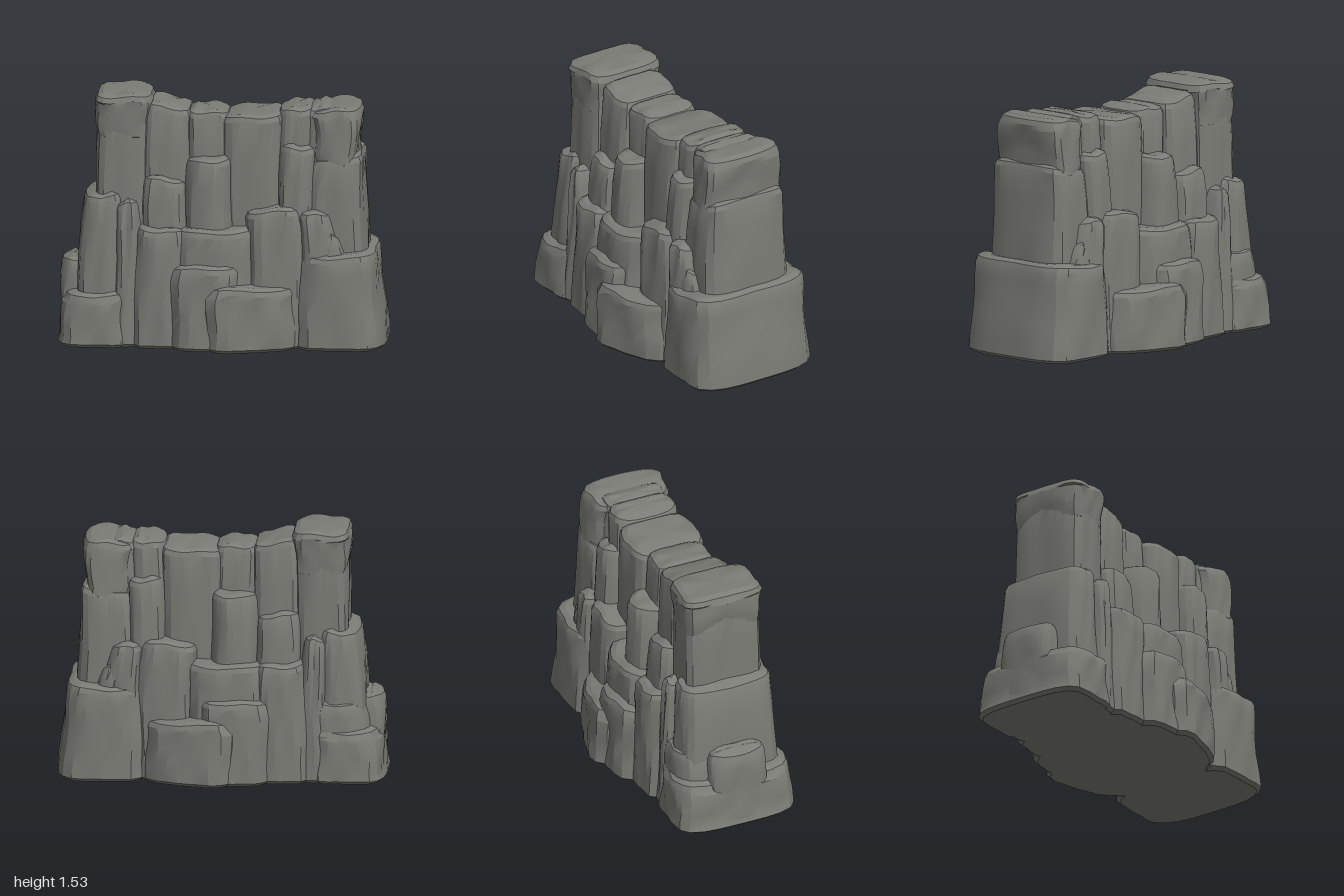
import * as THREE from 'three';
import { toCreasedNormals } from 'three/addons/utils/BufferGeometryUtils.js';

const stone = new THREE.MeshStandardMaterial({ color: 0x7c7c76 });
stone.name = 'grey stone';

const lerp = (a, b, t) => a + (b - a) * t;

// One weathered boulder, mirrored front to back: a rounded-rectangle section
// swept upward, with soft worn edges and gentle lumps.
// bottom/top: [xMin, xMax]; y: [base, topLeft, topRight];
// depth: half depth [at xMin, at xMax]; taper: depth scale at the top;
// power: squareness; z: centre of the section
function rock(name, bottom, top, y, depth, taper = 0.95, power = 4.5, z = 0) {
  const N = 32, seed = bottom[0] * 17 + y[1] * 29;
  const levels = [ // [height fraction, drop from the top, inset]
    [0, 0, 0.022], [0, -0.02, 0], [0.2, 0, 0], [0.4, 0, 0], [0.6, 0, 0], [0.8, 0, 0],
    [1, 0.045, 0.002], [1, 0.016, 0.014], [1, 0, 0.045],
  ];
  const pos = [], index = [];
  for (const [f, drop, inset] of levels) {
    const x0 = lerp(bottom[0], top[0], f), x1 = lerp(bottom[1], top[1], f);
    const cx = (x0 + x1) / 2;
    const a = (x1 - x0) / 2 - inset;
    for (let j = 0; j < N; j++) {
      const th = (j / N) * Math.PI * 2, c = Math.cos(th), s = Math.sin(th);
      const r = Math.pow(Math.abs(c) ** power + Math.abs(s) ** power, -1 / power);
      const u = c * r, w = s * r;
      const lump = 1 + 0.014 * Math.sin(u * 5 + seed + f * 4) + 0.012 * Math.sin(u * 9 - seed * 2 - f * 6);
      const d = lerp(depth[0], depth[1], (u + 1) / 2) * lerp(1, taper, f) - inset;
      const sway = f > 0 ? 0.008 * Math.sin(f * 7 + seed + Math.abs(w) * 3) : 0;
      const yTop = lerp(y[1], y[2], (u + 1) / 2) + 0.006 * Math.sin(u * 4 + seed);
      pos.push(cx + u * a + sway, lerp(y[0], yTop, f) - drop, z + w * d * lump);
    }
  }
  const rings = levels.length;
  for (let i = 0; i < rings - 1; i++)
    for (let j = 0; j < N; j++) {
      const p = i * N + j, q = i * N + (j + 1) % N;
      index.push(p, p + N, q, q, p + N, q + N);
    }
  // Close the base and the top with fans
  const base = rings * N, crown = base + 1, last = (rings - 1) * N;
  pos.push((bottom[0] + bottom[1]) / 2, y[0], z);
  pos.push((top[0] + top[1]) / 2, (y[1] + y[2]) / 2 + 0.006, z);
  for (let j = 0; j < N; j++) {
    const k = (j + 1) % N;
    index.push(base, j, k, crown, last + k, last + j);
  }
  const g = new THREE.BufferGeometry();
  g.setAttribute('position', new THREE.Float32BufferAttribute(pos, 3));
  g.setIndex(index);
  const mesh = new THREE.Mesh(toCreasedNormals(g, 0.4), stone);
  mesh.name = name;
  return mesh;
}

export function createModel() {
  const model = new THREE.Group();
  model.name = 'rockCliff';
  const tier = (name, rocks) => {
    const g = new THREE.Group();
    g.name = name;
    rocks.forEach((r) => g.add(rock(...r)));
    model.add(g);
  };

  // Tall columns along the ridge
  tier('ridge', [
    ['ridgeEndColumn', [-0.77, -0.43], [-0.755, -0.44], [0, 1.45, 1.45], [0.25, 0.24], 1, 5],
    ['ridgeEndCap', [-0.755, -0.44], [-0.775, -0.425], [1.25, 1.525, 1.53], [0.245, 0.24], 1.06, 5],
    ['ridgeColumnA', [-0.48, -0.17], [-0.48, -0.18], [0, 1.48, 1.435], [0.25, 0.25], 0.84, 4.5],
    ['ridgeColumnB', [-0.22, 0.04], [-0.22, 0.04], [0, 1.425, 1.425], [0.22, 0.22], 0.85, 4.5],
    ['ridgeColumnC', [0.03, 0.37], [-0.01, 0.38], [0, 1.4, 1.415], [0.25, 0.25], 0.95, 4],
    ['ridgeColumnD', [0.33, 0.56], [0.34, 0.56], [0, 1.445, 1.455], [0.22, 0.22], 0.95, 4],
    ['ridgeBridge', [0.48, 0.7], [0.5, 0.68], [1.0, 1.45, 1.46], [0.2, 0.22], 0.95, 4],
    ['ridgeEndBoulder', [0.56, 0.82], [0.53, 0.84], [1.1, 1.44, 1.465], [0.25, 0.295], 0.92, 4.5],
  ]);

  // Middle blocks stepping outward
  tier('middleTier', [
    ['shoulderBlock', [0.5, 0.885], [0.53, 0.855], [0.2, 1.14, 1.18], [0.3, 0.31], 0.92, 5],
    ['slimPillar', [0.34, 0.58], [0.34, 0.57], [0.2, 1.235, 1.22], [0.33, 0.33], 0.86, 4],
    ['centrePillar', [-0.25, 0.1], [-0.23, 0.08], [0.2, 1.14, 1.155], [0.36, 0.36], 0.9, 2.8],
    ['leftStep', [-0.5, -0.17], [-0.48, -0.2], [0.2, 1.04, 1.01], [0.34, 0.34], 0.87, 4],
    ['leftOuterBlock', [-0.9, -0.56], [-0.84, -0.6], [0, 0.91, 0.935], [0.32, 0.34], 0.88, 4.5],
    ['leftWedge', [-0.68, -0.46], [-0.635, -0.485], [0, 0.88, 0.9], [0.36, 0.36], 0.9, 4],
    ['rightLedge', [0.12, 0.54], [0.14, 0.52], [0, 0.84, 0.87], [0.385, 0.37], 0.96, 4],
    ['rightKnob', [0.45, 0.75], [0.46, 0.69], [0.2, 0.85, 0.83], [0.39, 0.37], 0.95, 3.5],
    ['rightChip', [0.57, 0.79], [0.58, 0.745], [0.2, 0.76, 0.68], [0.375, 0.36], 0.95, 3.5],
  ]);

  // Broad blocks at the foot
  tier('baseTier', [
    ['rightBaseBlock', [0.43, 0.995], [0.45, 0.935], [0, 0.575, 0.59], [0.42, 0.42], 0.97, 4],
    ['broadLedge', [-0.28, 0.24], [-0.3, 0.22], [0, 0.725, 0.73], [0.425, 0.425], 0.96, 3.8],
    ['leftLedge', [-0.56, -0.18], [-0.53, -0.2], [0, 0.735, 0.725], [0.4, 0.41], 0.96, 4],
    ['leftBaseBlock', [-0.995, -0.51], [-0.96, -0.53], [0, 0.32, 0.335], [0.39, 0.385], 0.96, 4],
    ['leftEndStone', [-0.99, -0.78], [-0.975, -0.82], [0, 0.51, 0.52], [0.2, 0.2], 0.9, 3],
    ['leftBackStone', [-0.92, -0.5], [-0.88, -0.5], [0, 0.49, 0.5], [0.31, 0.32], 0.95, 4, -0.04],
    ['centreStep', [-0.34, 0.18], [-0.325, 0.15], [0, 0.51, 0.525], [0.475, 0.49], 0.98, 4],
    ['frontStep', [-0.13, 0.49], [-0.12, 0.48], [0, 0.4, 0.385], [0.575, 0.435], 0.98, 4],
  ]);
  return model;
}
